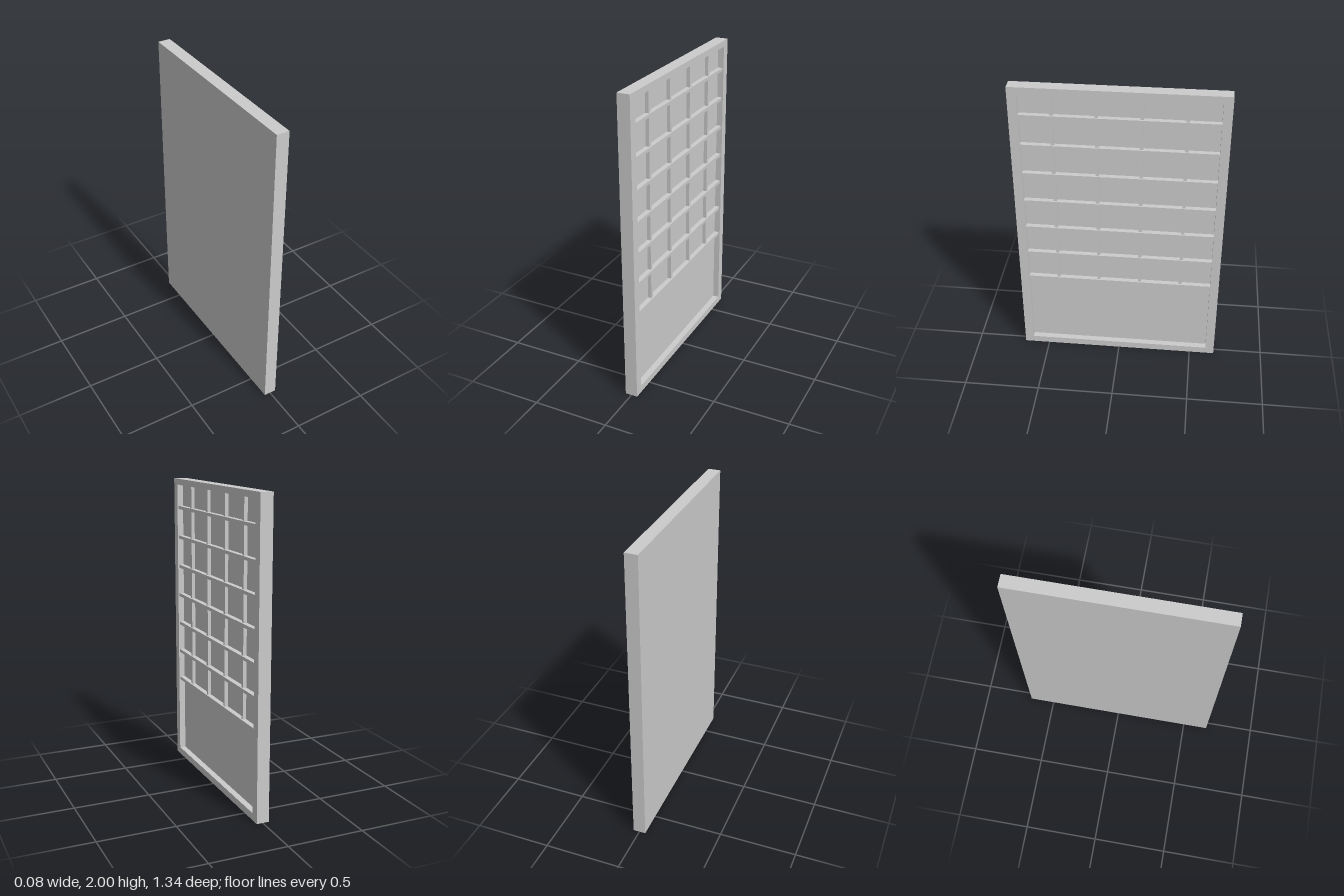
import * as THREE from 'three';

const material = new THREE.MeshStandardMaterial({ color: 0xcccccc, flatShading: true });

// Box given by its extents along each axis
function box(name, [x0, x1], [y0, y1], [z0, z1]) {
  const mesh = new THREE.Mesh(new THREE.BoxGeometry(x1 - x0, y1 - y0, z1 - z0), material);
  mesh.position.set((x0 + x1) / 2, (y0 + y1) / 2, (z0 + z1) / 2);
  mesh.name = name;
  return mesh;
}

export function createModel() {
  const door = new THREE.Group();
  door.name = 'latticeDoor';

  const front = 0.041, halfW = 0.67, innerW = 0.612;
  const innerBottom = 0.047, innerTop = 1.96;
  const panelFace = 0;

  // Solid backing panel, recessed inside the frame
  door.add(box('backPanel', [-front, panelFace], [0, 2], [-halfW, halfW]));

  // Raised frame: one extruded rectangle with a rectangular opening
  const outline = new THREE.Shape([
    new THREE.Vector2(-halfW, 0), new THREE.Vector2(halfW, 0),
    new THREE.Vector2(halfW, 2), new THREE.Vector2(-halfW, 2),
  ]);
  outline.holes.push(new THREE.Path([
    new THREE.Vector2(-innerW, innerBottom), new THREE.Vector2(-innerW, innerTop),
    new THREE.Vector2(innerW, innerTop), new THREE.Vector2(innerW, innerBottom),
  ]));
  const frameGeometry = new THREE.ExtrudeGeometry(outline, { depth: front - panelFace, bevelEnabled: false });
  frameGeometry.rotateY(Math.PI / 2).translate(panelFace, 0, 0);
  const frame = new THREE.Mesh(frameGeometry, material);
  frame.name = 'frame';
  door.add(frame);

  // Lattice: horizontal bars stand proud of the vertical ones
  const lattice = new THREE.Group();
  lattice.name = 'lattice';
  const half = 0.0105, lowestBar = 0.58, pitchY = 0.204, pitchZ = 0.2745;
  for (let i = 0; i < 7; i++) {
    const y = lowestBar + i * pitchY;
    lattice.add(box('horizontalBar', [panelFace, 0.033], [y - half, y + half], [-innerW, innerW]));
  }
  for (let i = 0; i < 4; i++) {
    const z = (i - 1.5) * pitchZ;
    lattice.add(box('verticalBar', [panelFace, 0.023], [lowestBar, innerTop], [z - half, z + half]));
  }
  door.add(lattice);
  return door;
}
